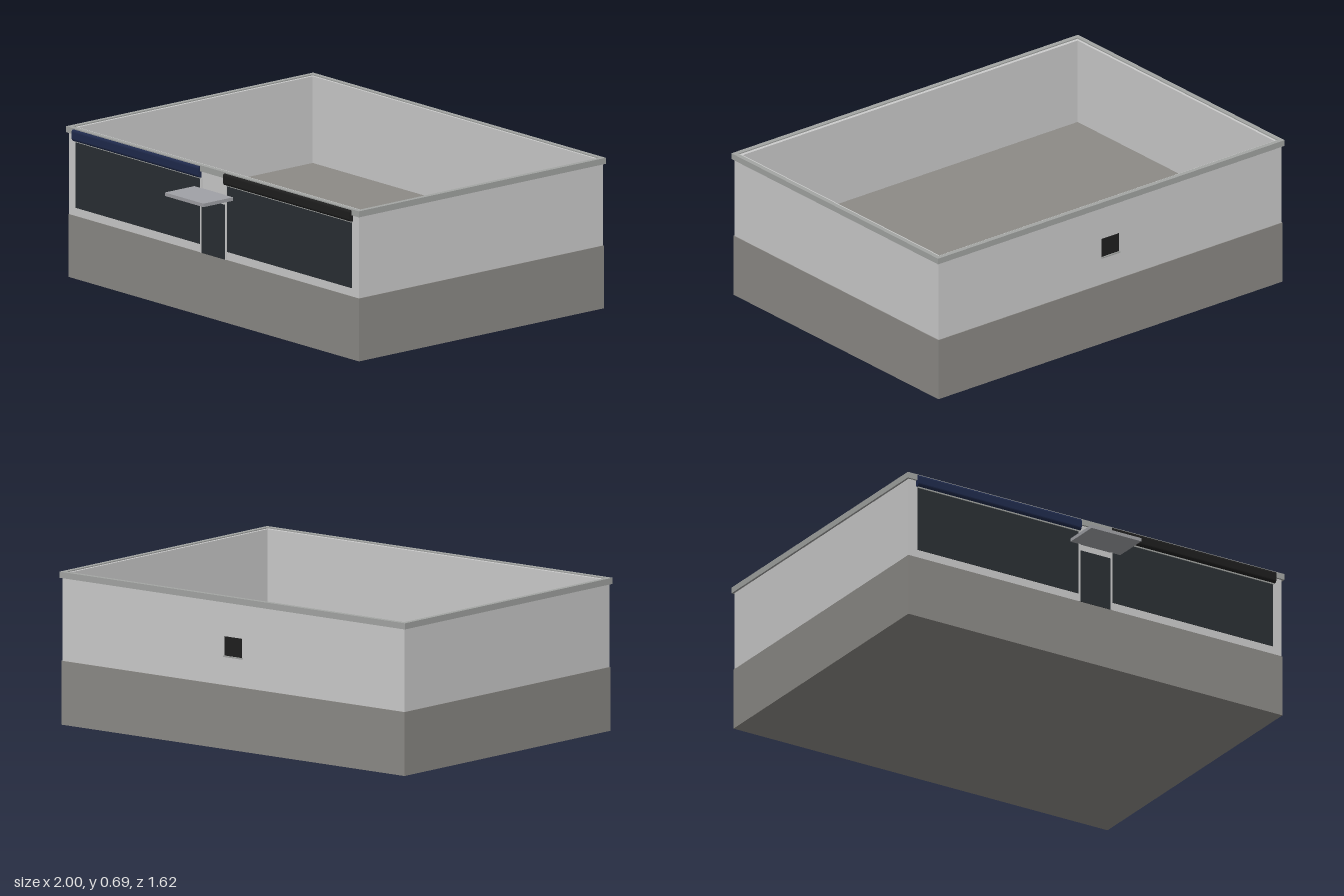
import * as THREE from 'three';

const mat = (color) => new THREE.MeshStandardMaterial({ color });
const grey = mat(0xcccccc);
const stone = mat(0x8c8a86);
const trim = mat(0xa3a5a3);
const glass = mat(0x2a2f33);
const navy = mat(0x1f2a4c);
const black = mat(0x1e1e1e);
const canopyGrey = mat(0xa0a1a6);

export function createModel() {
  const model = new THREE.Group();

  const add = (name, geometry, material) => {
    const mesh = new THREE.Mesh(geometry, material);
    mesh.name = name;
    model.add(mesh);
    return mesh;
  };

  // Box given by its limits on each axis
  const box = (name, [x0, x1], [y0, y1], [z0, z1], material) =>
    add(name, new THREE.BoxGeometry(x1 - x0, y1 - y0, z1 - z0), material)
      .position.set((x0 + x1) / 2, (y0 + y1) / 2, (z0 + z1) / 2);

  const rect = (Type, x, back, front) => new Type([
    new THREE.Vector2(-x, -front), new THREE.Vector2(x, -front),
    new THREE.Vector2(x, -back), new THREE.Vector2(-x, -back),
  ]);

  // Rectangular ring, open in the middle, from y0 to y1
  const ring = (name, outer, inner, [y0, y1], material) => {
    const shape = rect(THREE.Shape, ...outer);
    shape.holes.push(rect(THREE.Path, ...inner));
    const geometry = new THREE.ExtrudeGeometry(shape, { depth: y1 - y0, bevelEnabled: false });
    geometry.rotateX(-Math.PI / 2).translate(0, y0, 0);
    add(name, geometry, material);
  };

  // Solid plinth, whose top is the floor
  box('plinth', [-0.993, 0.993], [0, 0.29], [-0.806, 0.638], stone);

  // Walls and the coping around their top
  ring('walls', [0.99, -0.803, 0.636], [0.966, -0.78, 0.606], [0.29, 0.69], grey);
  ring('coping', [1, -0.812, 0.645], [0.978, -0.79, 0.622], [0.667, 0.695], trim);

  // Shop windows and fascia boards on both sides of the entrance
  for (const side of [-1, 1]) {
    const span = (a, b) => (side > 0 ? [a, b] : [-b, -a]);
    const label = side > 0 ? 'left' : 'right';
    box(label + 'Window', span(0.09, 0.943), [0.328, 0.632], [0.62, 0.638], glass);
    box(label + 'WindowHead', span(0.085, 0.945), [0.632, 0.64], [0.62, 0.642], trim);

    // Fascia with a slightly rounded front
    const profile = new THREE.Shape();
    profile.moveTo(0.636, 0.638);
    profile.lineTo(0.648, 0.638);
    profile.quadraticCurveTo(0.655, 0.642, 0.656, 0.65);
    profile.lineTo(0.656, 0.68);
    profile.quadraticCurveTo(0.655, 0.689, 0.648, 0.69);
    profile.lineTo(0.636, 0.69);
    const [x0, x1] = span(0.084, 0.95);
    const fascia = new THREE.ExtrudeGeometry(profile, { depth: x1 - x0, bevelEnabled: false, curveSegments: 4 });
    fascia.rotateY(-Math.PI / 2).scale(1, 1, 1);
    // Profile depth now runs along z and the length along -x
    fascia.translate(x1, 0, 0);
    add(label + 'Fascia', fascia, side > 0 ? black : navy);

    box(label + 'DoorPost', span(0.08, 0.09), [0.29, 0.632], [0.62, 0.641], grey);
  }

  // Entrance
  box('door', [-0.08, 0.08], [0.29, 0.542], [0.62, 0.64], glass);
  box('canopy', [-0.132, 0.132], [0.572, 0.588], [0.63, 0.812], canopyGrey);

  // Small rear window with sill
  box('rearWindow', [-0.05, 0.05], [0.425, 0.512], [-0.806, -0.79], black);
  box('rearSill', [-0.053, 0.053], [0.419, 0.425], [-0.812, -0.79], trim);

  return model;
}
